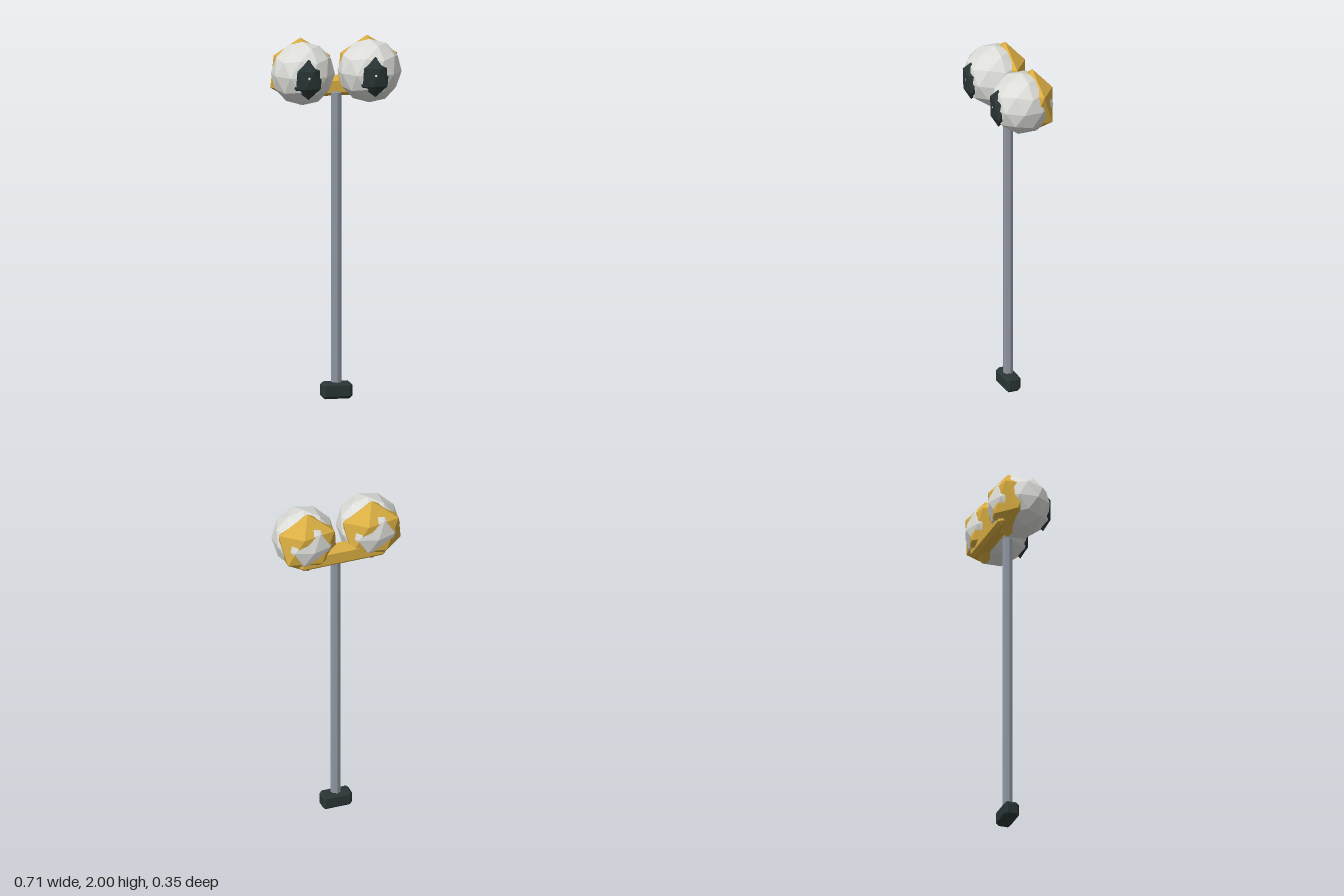
import * as THREE from 'three';
import { ConvexGeometry } from 'three/addons/geometries/ConvexGeometry.js';

const mat = (name, color) => {
  const m = new THREE.MeshStandardMaterial({ color, flatShading: true });
  m.name = name;
  return m;
};

// Faceted ball with a vertex on the y axis, stretched to three radii
function facetedBall(rx, ry, rz, detail) {
  const g = new THREE.IcosahedronGeometry(1, detail);
  g.rotateZ(Math.atan2(2, 1 + Math.sqrt(5)));
  g.rotateY(Math.PI);
  g.scale(rx, ry, rz);
  g.computeVertexNormals();
  return g;
}

// Box with every edge cut off by c
function chamferBox(w, h, d, c) {
  const pts = [];
  for (const x of [-1, 1]) for (const y of [-1, 1]) for (const z of [-1, 1])
    for (let k = 0; k < 3; k++)
      pts.push(new THREE.Vector3(
        x * (w / 2 - (k === 0 ? 0 : c)),
        y * (h / 2 - (k === 1 ? 0 : c)),
        z * (d / 2 - (k === 2 ? 0 : c))));
  return new ConvexGeometry(pts);
}

export function createModel() {
  const model = new THREE.Group();
  model.name = 'eyesOnPole';
  const white = mat('eyeWhite', 0xdcdcd8);
  const gold = mat('gold', 0xdaae42);
  const dark = mat('darkSlate', 0x2a3535);
  const steel = mat('steel', 0x9097a3);

  const add = (parent, name, geometry, material, x, y, z) => {
    const mesh = new THREE.Mesh(geometry, material);
    mesh.name = name;
    mesh.position.set(x, y, z);
    parent.add(mesh);
  };

  // Base, pole and crossbar
  add(model, 'base', chamferBox(0.17, 0.09, 0.086, 0.016), dark, 0, 0.045, 0);
  add(model, 'pole', new THREE.CylinderGeometry(0.029, 0.029, 1.66, 8), steel, 0, 0.87, 0);
  add(model, 'crossbar', chamferBox(0.5, 0.105, 0.09, 0.02), gold, 0, 1.722, -0.09);

  // Two identical eyes, each with a rear shell and a pupil
  const ball = facetedBall(0.176, 0.176, 0.176, 1);
  const shell = facetedBall(0.1875, 0.1875, 0.114, 0);
  const pupil = facetedBall(0.088, 0.112, 0.041, 0);
  for (const [name, x] of [['rightEye', -0.187], ['leftEye', 0.187]]) {
    const eye = new THREE.Group();
    eye.name = name;
    eye.position.set(x, 1.8125, 0);
    add(eye, 'eyeball', ball, white, 0, 0, 0);
    add(eye, 'rearShell', shell, gold, 0, 0, -0.063);
    add(eye, 'pupil', pupil, dark, 0, -0.01, 0.14);
    model.add(eye);
  }
  return model;
}
